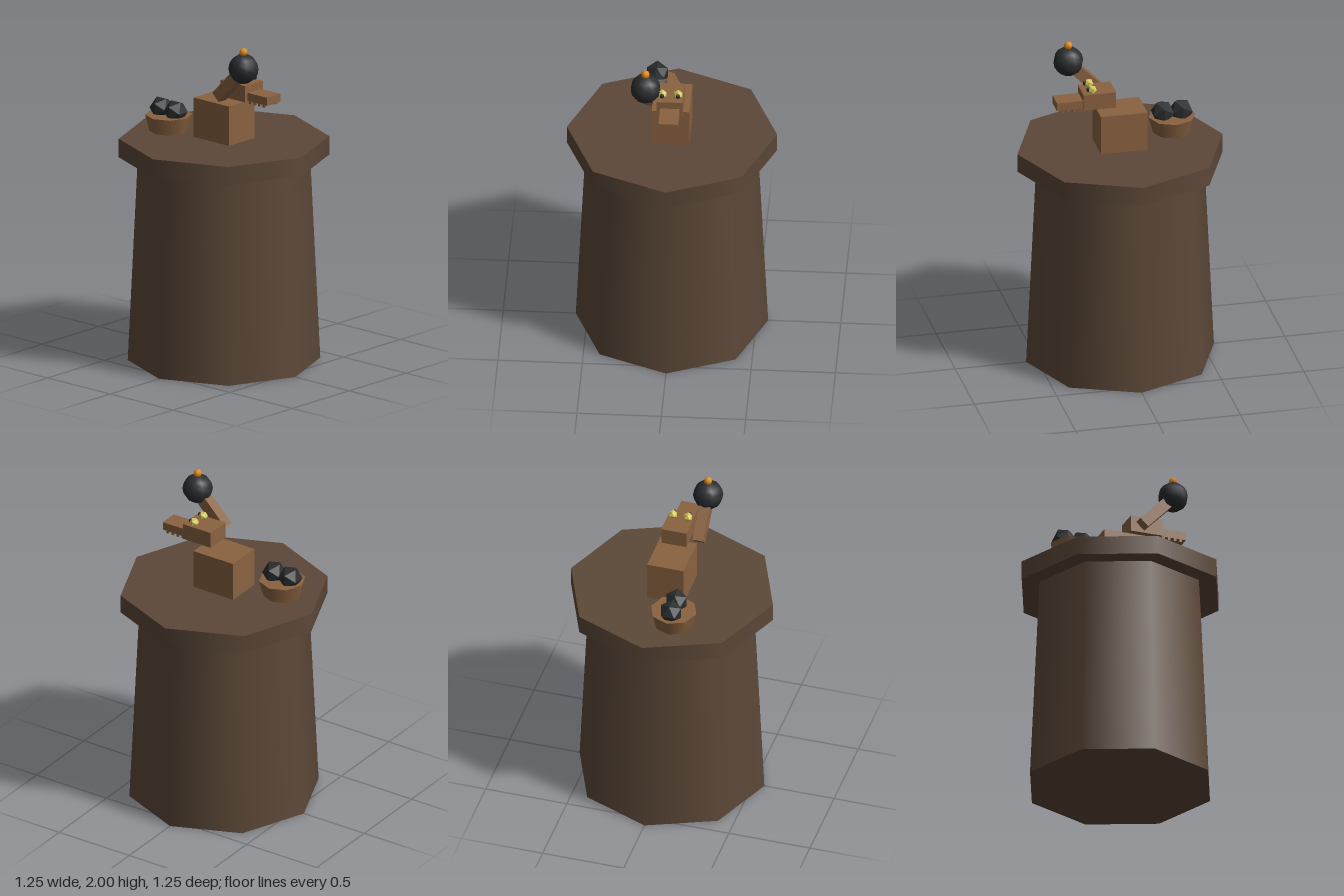
import * as THREE from 'three';

const mat = (name, color) => Object.assign(new THREE.MeshStandardMaterial({ color }), { name });

export function createModel() {
  const darkWood = mat('dark brown', 0x5c4838);
  const wood = mat('wood brown', 0x8a6240);
  const black = mat('charcoal black', 0x2a2c2e);
  const yellow = mat('eye yellow', 0xd4c85a);
  const orange = mat('spark orange', 0xe08a1e);

  const model = new THREE.Group();
  model.name = 'towerWithCreature';
  const add = (parent, name, geometry, material, x, y, z) => {
    const mesh = new THREE.Mesh(geometry, material);
    mesh.name = name;
    mesh.position.set(x, y, z);
    parent.add(mesh);
    return mesh;
  };
  const group = (name) => {
    const g = new THREE.Group();
    g.name = name;
    model.add(g);
    return g;
  };

  // Octagonal tower and overhanging platform
  add(model, 'towerBody', new THREE.CylinderGeometry(0.51, 0.57, 1.25, 8), darkWood, 0, 0.625, 0);
  add(model, 'platform', new THREE.CylinderGeometry(0.623, 0.623, 0.114, 8), darkWood, 0, 1.307, 0);

  // Block in the middle of the platform
  add(model, 'pedestal', new THREE.BoxGeometry(0.283, 0.242, 0.224), wood, 0, 1.485, 0);

  // Basket with two lumps
  const basket = group('basket');
  add(basket, 'basketTub', new THREE.CylinderGeometry(0.14, 0.114, 0.1, 8), wood, -0.34, 1.414, 0.112);
  for (const x of [-0.397, -0.284]) {
    add(basket, 'basketLump', new THREE.IcosahedronGeometry(0.073, 0), black, x, 1.492, 0.112);
  }

  // Head facing +x with snout, teeth and eyes
  const head = group('head');
  add(head, 'skull', new THREE.BoxGeometry(0.197, 0.1, 0.155), wood, 0.14, 1.693, -0.001);
  add(head, 'snout', new THREE.BoxGeometry(0.16, 0.05, 0.115), wood, 0.316, 1.673, -0.002);
  for (const side of [-1, 1]) {
    for (let i = 0; i < 4; i++) {
      add(head, 'tooth', new THREE.BoxGeometry(0.016, 0.022, 0.016), wood,
        0.256 + i * 0.036, 1.643, -0.002 + side * 0.049);
    }
    add(head, 'eye', new THREE.IcosahedronGeometry(0.029, 0), yellow, 0.179, 1.76, -0.001 + side * 0.047);
    add(head, 'pupil', new THREE.SphereGeometry(0.014, 6, 5), black, 0.202, 1.763, -0.001 + side * 0.047);
  }

  // Raised arm holding a round bomb with a lit tip
  const arm = group('raisedArm');
  const limb = add(arm, 'limb', new THREE.BoxGeometry(0.25, 0.069, 0.066), wood, 0.175, 1.755, 0.139);
  limb.rotation.z = 0.8;
  add(arm, 'bomb', new THREE.SphereGeometry(0.09, 10, 8), black, 0.282, 1.873, 0.139);
  add(arm, 'spark', new THREE.SphereGeometry(0.026, 6, 6), orange, 0.282, 1.974, 0.139);

  return model;
}
